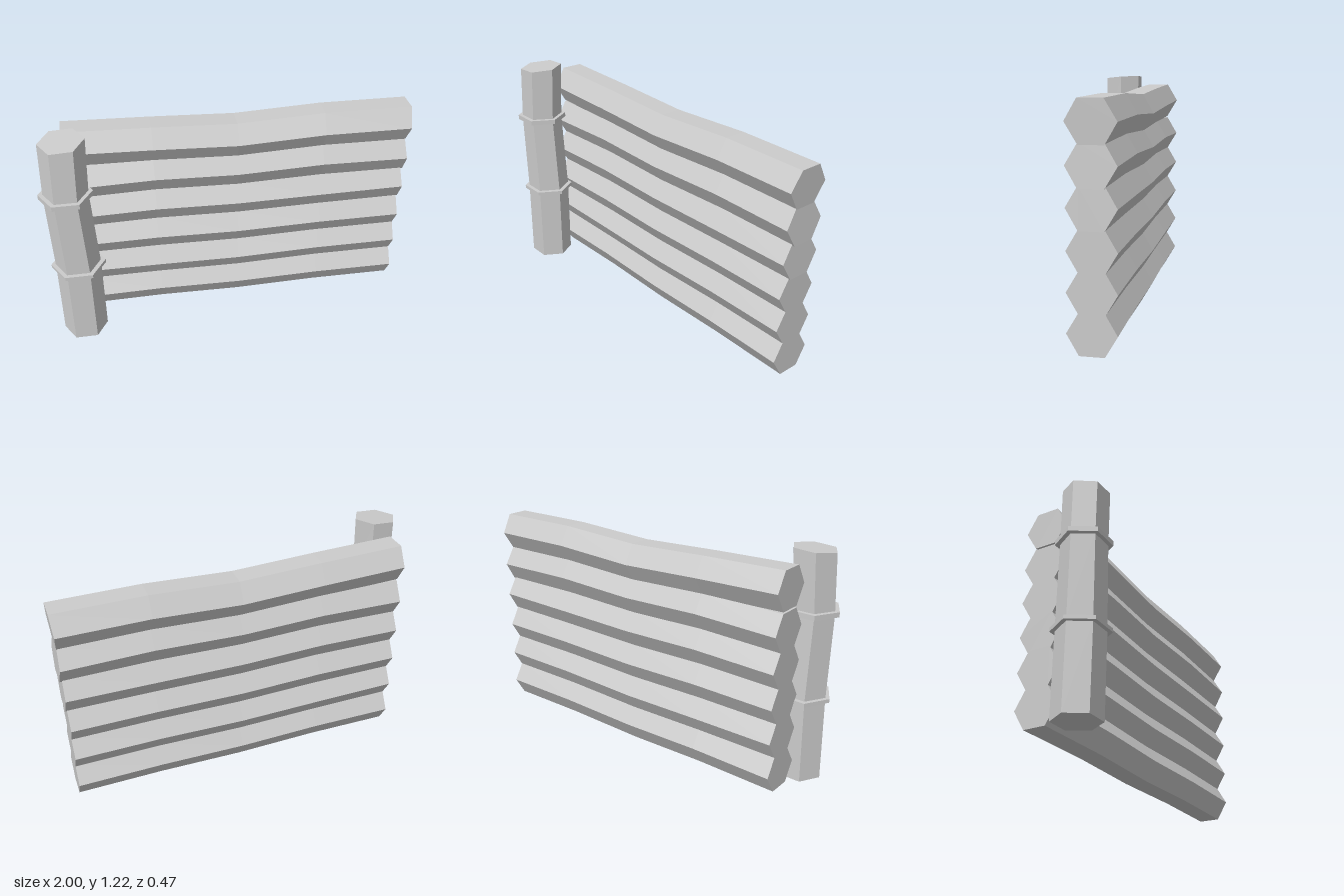
import * as THREE from 'three';

const material = new THREE.MeshStandardMaterial({ color: 0xcccccc, flatShading: true, side: THREE.DoubleSide });

// Closed solid through a row of equal-sized rings of Vector3 (counter-clockwise about the path)
function loft(rings) {
  const pos = [];
  const tri = (...pts) => pts.forEach((p) => pos.push(p.x, p.y, p.z));
  const n = rings[0].length;
  for (let i = 0; i < rings.length - 1; i++) {
    for (let k = 0; k < n; k++) {
      const j = (k + 1) % n;
      tri(rings[i][k], rings[i][j], rings[i + 1][j]);
      tri(rings[i][k], rings[i + 1][j], rings[i + 1][k]);
    }
  }
  const first = rings[0], last = rings[rings.length - 1];
  for (let k = 1; k < n - 1; k++) {
    tri(first[0], first[k + 1], first[k]);
    tri(last[0], last[k], last[k + 1]);
  }
  const geometry = new THREE.BufferGeometry();
  geometry.setAttribute('position', new THREE.Float32BufferAttribute(pos, 3));
  geometry.computeVertexNormals();
  return geometry;
}

// Six corners, passed to fn as (cos, sin) with a corner at sin = 1
const hexRing = (fn) => Array.from({ length: 6 }, (_, k) => {
  const a = Math.PI / 6 + k * Math.PI / 3;
  return fn(Math.cos(a), Math.sin(a));
});

function addMesh(parent, name, geometry) {
  const mesh = new THREE.Mesh(geometry, material);
  mesh.name = name;
  parent.add(mesh);
  return mesh;
}

export function createModel() {
  const model = new THREE.Group();
  model.name = 'logFence';

  // Stacked hexagonal logs: centre heights along x, right end and lean of that end
  const logs = [
    { y: [0.11, 0.115, 0.105, 0.113, 0.108], end: 0.98, lean: 0 },
    { y: [0.30, 0.295, 0.287, 0.298, 0.295], end: 0.98, lean: 0 },
    { y: [0.485, 0.488, 0.476, 0.484, 0.482], end: 0.98, lean: 0 },
    { y: [0.672, 0.68, 0.667, 0.672, 0.675], end: 0.985, lean: -0.03 },
    { y: [0.86, 0.87, 0.855, 0.87, 0.86], end: 0.99, lean: -0.05 },
    { y: [1.07, 1.055, 1.035, 1.055, 1.05], end: 0.993, lean: 0.07 },
  ];
  const wall = new THREE.Group();
  wall.name = 'logWall';
  model.add(wall);
  logs.forEach(({ y, end, lean }, index) => {
    const xs = [-0.86, -0.4, 0.05, 0.52, end];
    const rings = xs.map((x, i) => hexRing((c, s) => new THREE.Vector3(
      x + (i === 4 ? lean * c * 0.115 : 0),
      y[i] + 0.116 * c,
      -0.117 + 0.118 * s,
    )));
    addMesh(wall, `log${index + 1}`, loft(rings));
  });

  // Slightly crooked post with a sloping top: [y, centre x, centre z, radius]
  const sections = [
    [0, -0.85, 0.104, 0.12],
    [0.45, -0.847, 0.104, 0.12],
    [0.9, -0.862, 0.112, 0.115],
    [1.215, -0.85, 0.105, 0.117],
  ];
  const postRings = sections.map(([y, x, z, r], i) => hexRing((c, s) => new THREE.Vector3(
    x + r * s,
    y + (i === 3 ? 0.006 * s - 0.008 * c : 0),
    z + r * c,
  )));
  addMesh(model, 'post', loft(postRings));

  // Thin hexagonal bands around the post
  [
    ['lowerBand', -0.845, 0.449, 0.104, 0.145, 0.02],
    ['upperBand', -0.862, 0.907, 0.112, 0.139, 0.026],
  ].forEach(([name, x, y, z, r, h]) => {
    const rings = [y - h / 2, y + h / 2].map((h2) => hexRing((c, s) =>
      new THREE.Vector3(x + r * s, h2, z + r * c)));
    addMesh(model, name, loft(rings));
  });

  return model;
}
